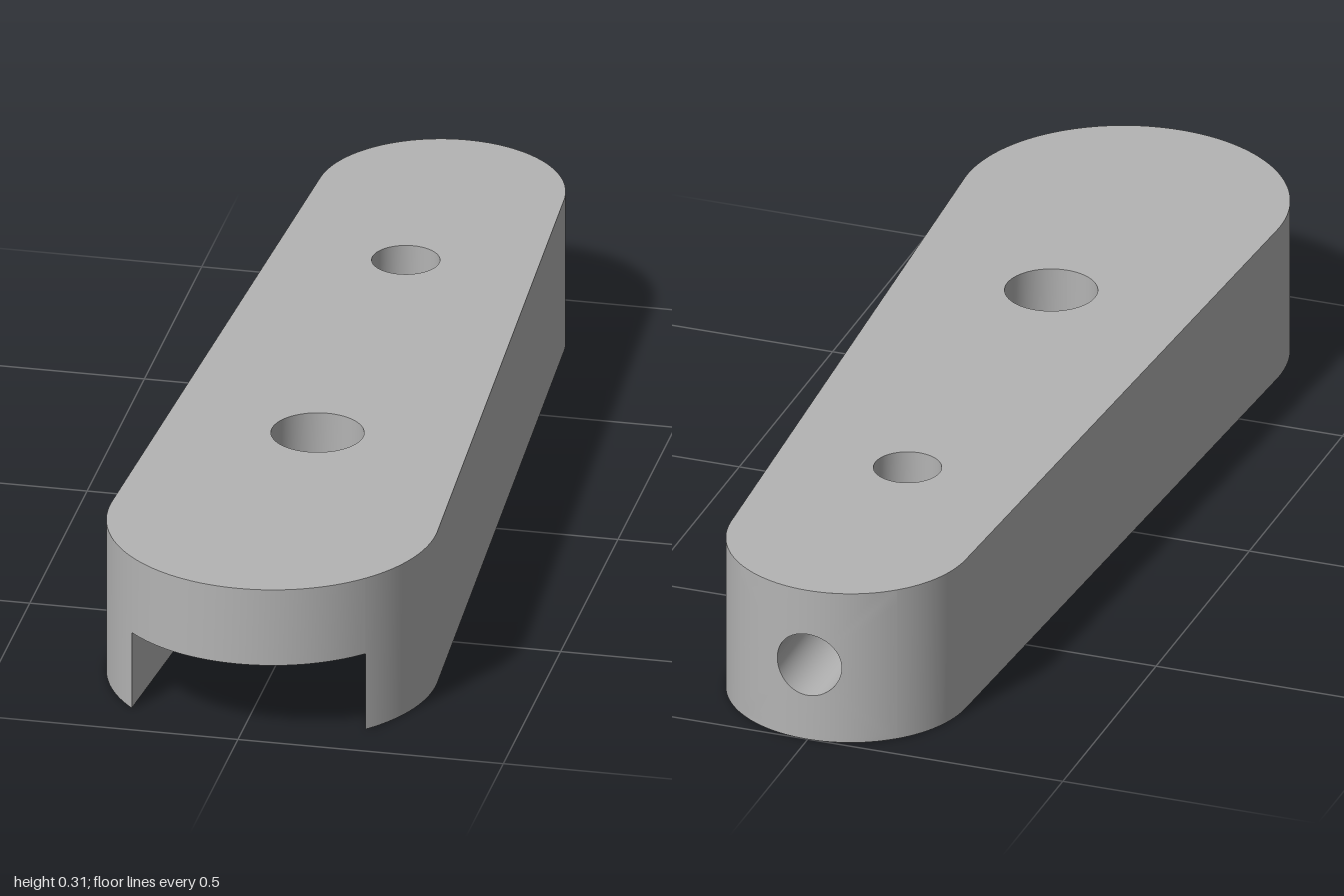
import * as THREE from 'three';

// Overall dimensions
const H = 0.307, MID = H / 2;
const FRONT = { z: 0.693, r: 0.307 }, BACK = { z: -0.77, r: 0.23 };
const SLOT = { z: 0.305, r: 0.165, mouth: 0.22 };
const BIG = { z: 0.305, r: 0.086 }, SMALL = { z: -0.465, r: 0.063 };

// Points [x, z] on a circle, angle measured from +z towards +x
function arc({ z, r }, a0, a1, n = 32) {
  return Array.from({ length: n + 1 }, (_, i) => {
    const a = a0 + (a1 - a0) * i / n;
    return [r * Math.sin(a), z + r * Math.cos(a)];
  });
}

// Smooth grid surface from f(u, v) -> [x, y, z]
function surface(f, nu, nv) {
  const pos = [], index = [];
  for (let j = 0; j <= nv; j++) {
    for (let i = 0; i <= nu; i++) pos.push(...f(i / nu, j / nv));
  }
  for (let j = 0; j < nv; j++) {
    for (let i = 0; i < nu; i++) {
      const a = j * (nu + 1) + i, b = a + 1, c = a + nu + 1, d = c + 1;
      index.push(a, b, d, a, d, c);
    }
  }
  const g = new THREE.BufferGeometry();
  g.setAttribute('position', new THREE.Float32BufferAttribute(pos, 3));
  g.setIndex(index);
  g.computeVertexNormals();
  return g;
}

// Vertical wall following a path of [x, z] points
function wall(points, y0, y1) {
  const n = points.length - 1;
  return surface((u, v) => {
    const [x, z] = points[Math.round(u * n)];
    return [x, y0 + (y1 - y0) * v, z];
  }, n, 1);
}

// Horizontal face, facing up or down, with optional round holes
function flat(points, y, up, holes = []) {
  const s = up ? -1 : 1;
  const to2 = (pts) => pts.map(([x, z]) => new THREE.Vector2(x, s * z));
  const shape = new THREE.Shape(to2(points));
  for (const h of holes) shape.holes.push(new THREE.Path(to2(arc(h, 0, Math.PI * 2, 64).slice(0, -1))));
  return new THREE.ShapeGeometry(shape).rotateX(s * Math.PI / 2).translate(0, y, 0);
}

export function createModel() {
  const model = new THREE.Group();
  model.name = 'taperedArm';
  const grey = new THREE.MeshStandardMaterial({ color: 0xb4b4b4, side: THREE.DoubleSide });
  grey.name = 'grey';
  const add = (name, geometry) => {
    const mesh = new THREE.Mesh(geometry, grey);
    mesh.name = name;
    model.add(mesh);
  };
  const mirror = (pts) => pts.map(([x, z]) => [-x, z]).reverse();

  // Outline: two arcs joined by tangent lines
  const tangent = Math.PI / 2 + Math.asin((FRONT.r - BACK.r) / (FRONT.z - BACK.z));
  const mouthAngle = Math.asin(SLOT.mouth / FRONT.r);
  const patchAngle = Math.PI - Math.asin(MID / BACK.r);
  const leftSide = [...arc(FRONT, mouthAngle, tangent), ...arc(BACK, tangent, patchAngle)];
  const rightSide = mirror(leftSide);
  const backEnd = arc(BACK, patchAngle, 2 * Math.PI - patchAngle, 32);
  const lip = arc(FRONT, -mouthAngle, mouthAngle);
  const around = [...leftSide, ...backEnd.slice(1, -1), ...rightSide];

  // Slot: round inner end with walls widening to the mouth
  const mouthZ = FRONT.z + FRONT.r * Math.cos(mouthAngle);
  const dz = mouthZ - SLOT.z;
  const flare = Math.acos(SLOT.r / Math.hypot(SLOT.mouth, dz)) - Math.atan2(dz, SLOT.mouth);
  const slot = [[SLOT.mouth, mouthZ],
    ...arc(SLOT, Math.PI / 2 + flare, 1.5 * Math.PI - flare, 48),
    [-SLOT.mouth, mouthZ]];
  const slotBack = [...slot].reverse();

  add('topFace', flat([...around, ...lip.slice(1, -1)], H, true, [BIG, SMALL]));
  add('bottomFace', flat([...around, ...slotBack.slice(1, -1)], 0, false));
  add('slotCeiling', flat([...slot, ...lip.slice(1, -1)], MID, false, [BIG]));
  add('leftWall', wall(leftSide, 0, H));
  add('rightWall', wall(rightSide, 0, H));
  add('frontLip', wall(lip, MID, H));
  add('slotWall', wall(slotBack, 0, MID));
  add('largeHole', wall(arc(BIG, 0, -2 * Math.PI, 64), MID, H));

  // Rounded back end, pierced by the horizontal bore
  const backZ = (x) => BACK.z - Math.sqrt(BACK.r ** 2 - x * x);
  add('backWall', surface((u, v) => {
    const a = u * Math.PI * 2, c = Math.cos(a), s = Math.sin(a);
    const edge = MID / Math.max(Math.abs(c), Math.abs(s));
    const r = SMALL.r + (edge - SMALL.r) * v;
    return [r * c, MID + r * s, backZ(r * c)];
  }, 64, 10));

  // Horizontal bore, meeting the vertical hole of the same radius
  const r = SMALL.r, boreEnd = SMALL.z + r;
  const bore = (a0, z0, z1) => surface((u, v) => {
    const a = a0 + u * Math.PI, x = r * Math.cos(a);
    const half = Math.sqrt(Math.max(0, r * r - x * x));
    const start = z0(x, half), end = z1(x, half);
    return [x, MID + r * Math.sin(a), start + (end - start) * v];
  }, 32, 4);
  add('boreFloor', bore(Math.PI, backZ, () => boreEnd));
  add('boreRoof', bore(0, backZ, (x, half) => SMALL.z - half));
  add('boreRoofEnd', bore(0, (x, half) => SMALL.z + half, () => boreEnd));
  add('boreEnd', new THREE.CircleGeometry(r, 48).rotateY(Math.PI).translate(0, MID, boreEnd));
  add('smallHole', surface((u, v) => {
    const a = u * Math.PI * 2, low = MID + r * Math.abs(Math.sin(a));
    return [r * Math.cos(a), low + (H - low) * v, SMALL.z + r * Math.sin(a)];
  }, 64, 2));

  return model;
}
